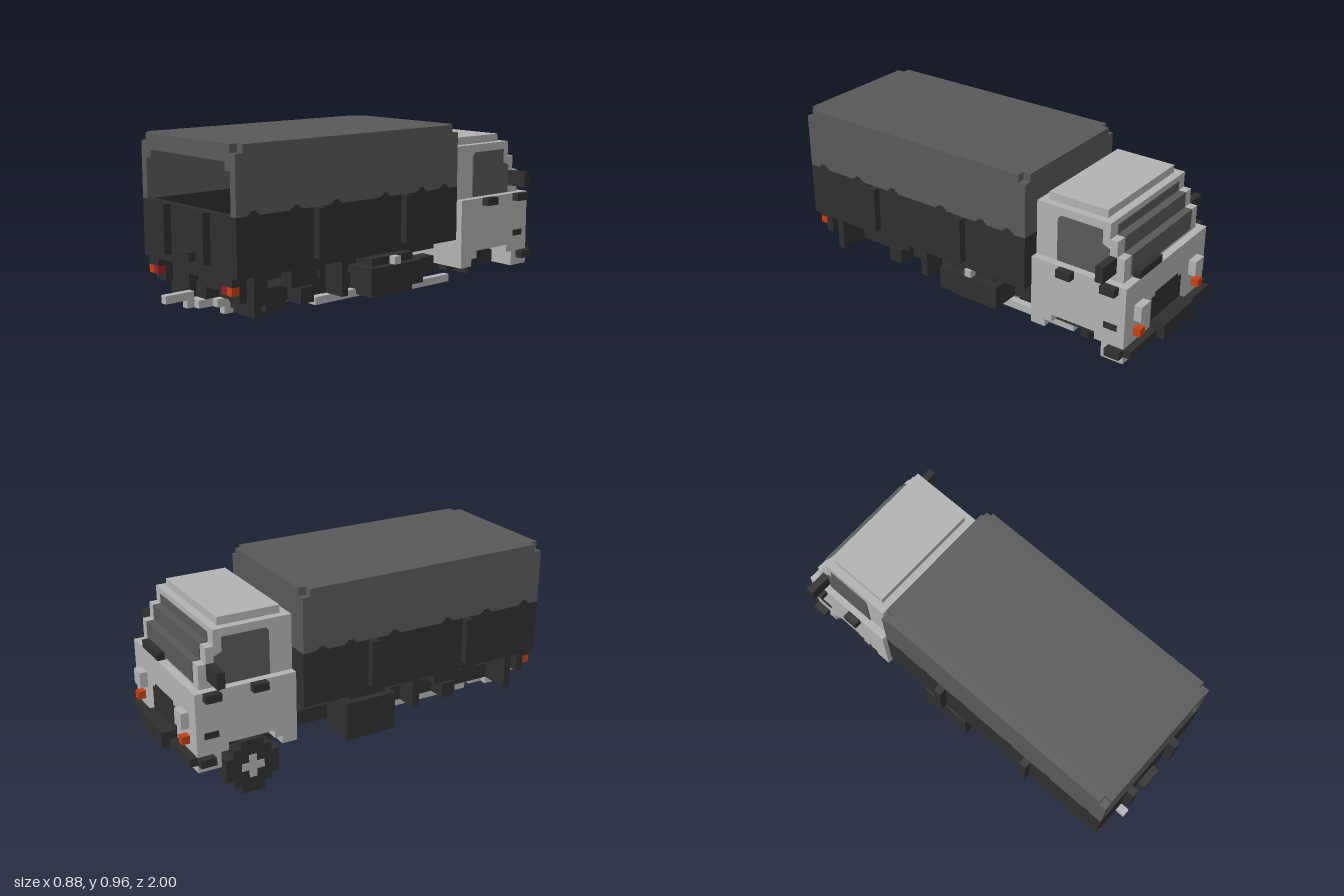
import * as THREE from 'three';

const U = 1 / 26; // one block

export function createModel() {
  const truck = new THREE.Group();
  truck.name = 'truck';
  const paint = (name, color) => {
    const m = new THREE.MeshStandardMaterial({ color });
    m.name = name;
    return m;
  };
  const black = paint('charcoal', 0x2f2f2f);
  const grey = paint('slate grey', 0x595959);
  const light = paint('light grey', 0xb2b2b2);
  const orange = paint('orange', 0xc83e12);
  const red = paint('red', 0x932426);

  const add = (name, mat, geo) => {
    const mesh = new THREE.Mesh(geo.scale(U, U, U), mat);
    mesh.name = name;
    truck.add(mesh);
    return mesh;
  };
  // Box from its limits, in blocks
  const box = (name, mat, x0, x1, y0, y1, z0, z1) =>
    add(name, mat, new THREE.BoxGeometry(x1 - x0, y1 - y0, z1 - z0)
      .translate((x0 + x1) / 2, (y0 + y1) / 2, (z0 + z1) / 2));
  const pair = (name, mat, x0, x1, ...rest) => {
    box(name + 'Left', mat, x0, x1, ...rest);
    box(name + 'Right', mat, -x1, -x0, ...rest);
  };
  const shapeOf = (pts) => new THREE.Shape(pts.map(([a, b]) => new THREE.Vector2(a, b)));
  // Side profile of (z, y) points, extruded across x
  const profile = (name, mat, pts, x0, x1) =>
    add(name, mat, new THREE.ExtrudeGeometry(shapeOf(pts), { depth: x1 - x0, bevelEnabled: false })
      .rotateY(-Math.PI / 2).translate(x1, 0, 0));

  // Cargo bed
  box('bedFloor', black, -9.5, 9.5, 10, 11, -10, 25);
  pair('bedSide', black, 8.5, 9.5, 11, 17, -10, 25);
  box('tailgate', black, -8.5, 8.5, 11, 17, 24, 25);
  box('bedFront', black, -8.5, 8.5, 11, 17, -10, -9);
  pair('tailgatePost', black, 3.5, 4.5, 11, 17, 25, 26);
  box('tailgateHandle', black, -1.5, 1.5, 11, 12, 25, 26);
  for (const z of [13, -1]) pair('sidePost', black, 9.5, 10.5, 11, 17, z, z + 1);

  // Canvas cover, open at the rear
  pair('coverSide', grey, 8.5, 9.5, 17, 24, -10, 25);
  box('coverFront', grey, -8.5, 8.5, 17, 24, -10, -9);
  box('coverRoof', grey, -8.5, 8.5, 24, 25, -10, 25);
  pair('coverRoofEdge', grey, 8.5, 9.5, 24, 25, -9, 24);
  const rear = shapeOf([[-8.5, 17], [-8.5, 22], [-7.5, 22], [-7.5, 23], [7.5, 23], [7.5, 22],
    [8.5, 22], [8.5, 17], [8.51, 17], [8.51, 24], [-8.51, 24], [-8.51, 17]]);
  add('coverRearFrame', grey, new THREE.ExtrudeGeometry(rear, { depth: 1, bevelEnabled: false }).translate(0, 0, 24));
  // Scalloped lower edge of the canvas
  for (const z of [22.7, 16.6, 10.6, 2.7, -3.5, -7.5])
    for (const [dz, h] of [[0.75, 0.25], [0.4, 0.55]])
      pair('coverScallop', black, 9.5, 9.56 + h * 0.02, 17, 17 + h, z - dz, z + dz);

  // Cab with stepped arches
  profile('cabLower', light, [[-11, 15], [-24, 15], [-24, 5], [-21, 5], [-21, 7], [-20, 7], [-20, 8],
    [-14, 8], [-14, 7], [-13, 7], [-13, 6], [-11, 6]], -9.5, 9.5);
  profile('cabUpper', light, [[-11, 15], [-11, 22], [-21, 22], [-21, 20], [-22, 20], [-22, 18],
    [-23, 18], [-23, 15]], -8.5, 8.5);
  box('cabRoof', light, -7.5, 7.5, 22, 23, -20, -12);
  box('cabUnderside', black, -6, 6, 5, 8.5, -23.5, -12);
  // Windscreen steps and side windows
  [[15.4, 18, -23], [17.5, 20, -22], [19.5, 21.3, -21]].forEach(([y0, y1, z], i) =>
    box('windscreen' + (i + 1), grey, -7, 7, y0, i < 2 ? y1 + 0.1 : y1, z - 0.1, z + 1));
  for (const [name, x] of [['sideWindowLeft', 8.5], ['sideWindowRight', -8.65]])
    profile(name, grey, [[-14, 15.1], [-14, 20.6], [-14.4, 21], [-20, 21], [-20, 19.2], [-21, 18.8],
      [-21, 15.1]], x, x + 0.15);
  // Cab fittings
  pair('mirror', black, 8.5, 11.5, 16, 18, -22, -21);
  pair('doorHandle', black, 9.5, 10.5, 14, 15, -17, -15);
  pair('cornerHandle', black, 9.5, 10.5, 14, 15, -23, -21);
  pair('sideVent', black, 9.5, 9.6, 9.1, 9.9, -23, -21.2);
  box('wiper', black, 1.5, 6.5, 15, 16, -24, -23);
  box('grille', black, -3.5, 3.5, 8, 11, -24.1, -23.9);
  box('grilleTop', black, -2.7, 2.7, 11, 11.5, -24.1, -23.9);
  pair('headlight', light, 5.5, 7.5, 10, 12, -25, -24);
  pair('frontIndicator', orange, 6.5, 7.5, 8, 9, -25, -24);
  // Bumper
  box('bumper', black, -9.5, 9.5, 6, 7, -25, -24);
  box('bumperCentre', black, -3.5, 3.5, 6, 8, -26, -24);
  pair('bumperEnd', black, 9.5, 10.5, 6, 7, -24, -22);

  // Chassis
  pair('upperRail', black, 2.5, 4.5, 8, 10, -12, 22);
  pair('lowerRail', black, 2.5, 4.5, 5, 7, -13, 21);
  box('spine', black, -1.5, 1.5, 8, 10, -12, 22);
  for (const z of [17, 11, 7, -4]) box('crossMember', black, -4.5, 4.5, 5, 8, z, z + 2);
  box('rearCrossPlate', black, -2.5, 2.5, 7, 10, 21, 22);
  box('rearAxle', black, -7, 7, 5, 7, 12, 14);
  box('differential', black, -1.5, 1.5, 3, 6, 12, 15);
  pair('rearMudflap', black, 4.5, 8.5, 5, 10, 21, 22);
  pair('forwardMudflap', black, 4.5, 7.5, 5, 10, 7, 8);
  pair('rearSpring', black, 4.5, 6.5, 7, 10, 11, 15);
  // Rear lamps
  pair('lampBracket', black, 6.5, 8.5, 7, 10, 23, 24);
  pair('rearLampBase', black, 6.5, 8.5, 9, 10, 24, 25);
  pair('brakeLamp', red, 6.5, 7.5, 8, 9, 24, 25);
  pair('rearIndicator', orange, 7.5, 8.5, 8, 9, 24, 25);

  // Fuel tank on one side, storage box on the other
  box('fuelTank', black, 4.5, 8.5, 5, 8, -5, 4);
  box('fuelTankCore', black, 4.5, 7.5, 4, 9, -4, 3);
  box('fuelCap', light, 7.5, 8.5, 8, 9, -1, 0);
  box('storageBox', black, -9.5, -4.5, 4, 9, -4, 3);
  box('storageBoxMount', black, -8.5, -4.5, 9, 10, -3, 2);

  // Exhaust pipe
  [[-4.5, -3.5, 5, 6, 22, 26], [-4.5, -3.5, 4, 5, 21, 23], [-3.5, -2.5, 4, 5, 19, 22],
    [-2.5, -1.5, 4, 5, 18, 20], [-2.5, -1.5, 3, 4, 6, 19], [-1.5, 1.5, 3, 4, 6, 8],
    [1.5, 2.5, 3, 4, -4, 8], [2.5, 4.5, 3, 4, -4, -3], [3.5, 4.5, 3, 4, -14, -4],
  ].forEach((d) => box('exhaust', light, ...d));

  // Front wheel: stepped disc
  const wheel = shapeOf([[-1.5, -3.5], [1.5, -3.5], [1.5, -2.5], [2.5, -2.5], [2.5, -1.5], [3.5, -1.5],
    [3.5, 1.5], [2.5, 1.5], [2.5, 2.5], [1.5, 2.5], [1.5, 3.5], [-1.5, 3.5], [-1.5, 2.5], [-2.5, 2.5],
    [-2.5, 1.5], [-3.5, 1.5], [-3.5, -1.5], [-2.5, -1.5], [-2.5, -2.5], [-1.5, -2.5]]);
  add('frontWheel', black, new THREE.ExtrudeGeometry(wheel, { depth: 2, bevelEnabled: false })
    .rotateY(-Math.PI / 2).translate(-6.5, 3.5, -16.5));
  box('wheelHub', light, -8.6, -6.4, 2, 5, -17, -16);
  box('wheelHubBar', light, -8.6, -6.4, 3, 4, -18, -15);
  box('wheelHubInner', light, -6.5, -6.4, 2, 5, -18, -15);
  box('frontAxle', black, -6.5, 6, 4, 5, -17, -16);
  return truck;
}
